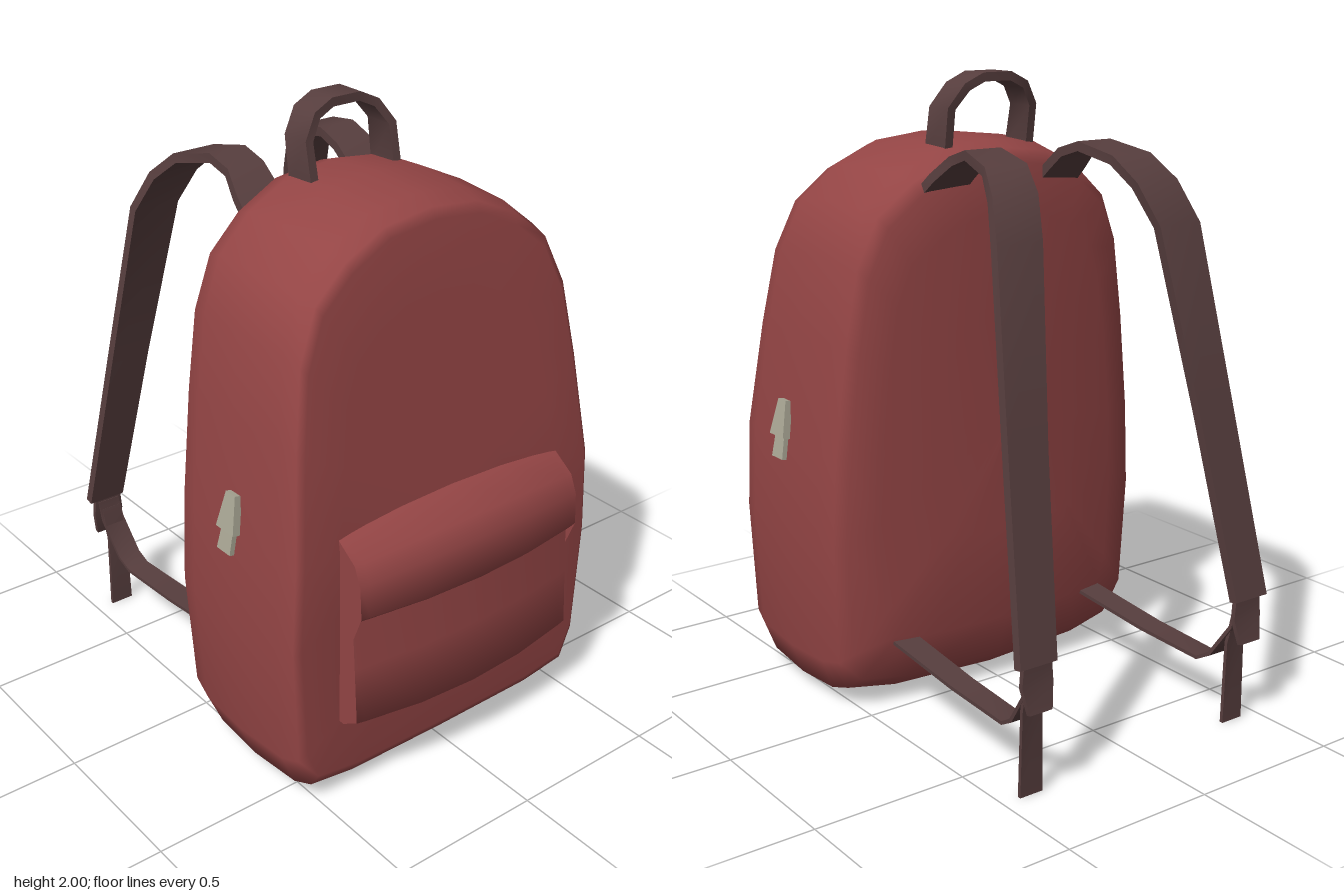
import * as THREE from 'three';
import { toCreasedNormals } from 'three/addons/utils/BufferGeometryUtils.js';

const red = new THREE.MeshStandardMaterial({ color: 0x944545 });
red.name = 'redFabric';
const brown = new THREE.MeshStandardMaterial({ color: 0x573e3e });
brown.name = 'brownWebbing';
const metal = new THREE.MeshStandardMaterial({ color: 0xaaa795 });
metal.name = 'paleMetal';

// Skins a list of equal-length rings and closes both ends.
function loft(rings) {
  const n = rings[0].length, last = (rings.length - 1) * n, index = [];
  for (let i = 0; i < rings.length - 1; i++) {
    for (let j = 0; j < n; j++) {
      const a = i * n + j, b = i * n + (j + 1) % n;
      index.push(a, b, b + n, a, b + n, a + n);
    }
  }
  for (let j = 1; j < n - 1; j++) index.push(0, j + 1, j, last, last + j, last + j + 1);
  const geo = new THREE.BufferGeometry();
  geo.setAttribute('position', new THREE.Float32BufferAttribute(rings.flat(2), 3));
  geo.setIndex(index);
  geo.computeVertexNormals();
  return geo;
}

// Flat webbing along a path: each point is [x, y, z, width].
function ribbon(path, side, thickness) {
  const pts = path.map(p => new THREE.Vector3(p[0], p[1], p[2]));
  const rings = pts.map((p, i) => {
    const t = pts[Math.min(i + 1, pts.length - 1)].clone().sub(pts[Math.max(i - 1, 0)]).normalize();
    const normal = t.cross(side).normalize();
    return [[-1, -1], [1, -1], [1, 1], [-1, 1]].map(([u, v]) =>
      p.clone().addScaledVector(side, u * path[i][3] / 2).addScaledVector(normal, v * thickness / 2).toArray());
  });
  return toCreasedNormals(loft(rings), 0.8);
}

function part(group, name, geo, material) {
  const mesh = new THREE.Mesh(geo, material);
  mesh.name = name;
  group.add(mesh);
}

function bodyGeometry() {
  const half = [[0, 0.01], [0.38, 0.015], [0.55, 0.04], [0.595, 0.15], [0.615, 0.55], [0.6, 0.85],
    [0.56, 1.2], [0.52, 1.45], [0.45, 1.61], [0.33, 1.71], [0.18, 1.78], [0, 1.8]];
  const outline = [...half, ...half.slice(1, -1).reverse().map(([x, y]) => [-x, y])];
  const back = (x, y) => -0.055 + 0.2 * x * x + 0.3 * Math.max(0, 0.25 - y);
  const front = y => 0.62 - 0.135 * Math.max(0, y - 0.85);
  // [outline scale, depth from back to front]
  const layers = [[0.02, 0], [0.4, 0], [0.75, 0], [0.92, 0.01], [0.965, 0.06], [0.99, 0.18], [1, 0.5],
    [0.985, 0.86], [0.96, 0.975], [0.925, 1], [0.7, 1], [0.35, 1], [0.02, 1]];
  return loft(layers.map(([s, f]) => outline.map(([ox, oy]) => {
    const x = ox * s, y = 0.9 + (oy - 0.9) * s;
    return [x, y, THREE.MathUtils.lerp(back(x, y), front(y), f)];
  })));
}

// Front pocket with an overhanging flap; [y, z] section swept across x.
function pocketGeometry() {
  const section = [[0.26, 0.55], [0.93, 0.55], [0.935, 0.62], [0.88, 0.72], [0.82, 0.752], [0.69, 0.76],
    [0.68, 0.75], [0.68, 0.71], [0.5, 0.725], [0.3, 0.74], [0.26, 0.66]];
  const xs = [-0.43, -0.4, -0.2, 0, 0.2, 0.4, 0.43];
  return toCreasedNormals(loft(xs.map(x => {
    const k = 1 - 1.1 * x * x;
    return section.map(([y, z]) => [x, y > 0.8 ? y - 0.15 * x * x : y < 0.4 ? y + 0.08 * x * x : y, 0.55 + (z - 0.55) * k]);
  })), 1.2);
}

export function createModel() {
  const model = new THREE.Group();
  model.name = 'backpack';
  part(model, 'body', bodyGeometry(), red);
  part(model, 'frontPocket', pocketGeometry(), red);

  // Carry handle, leaning slightly back
  const X = new THREE.Vector3(1, 0, 0), Z = new THREE.Vector3(0, 0, 1);
  part(model, 'carryHandle', ribbon([[-0.155, 1.75, 0.1, 0.11], [-0.155, 1.89, 0.075, 0.1], [-0.11, 1.955, 0.055, 0.1],
    [-0.05, 1.983, 0.05, 0.1], [0.05, 1.983, 0.05, 0.1], [0.11, 1.955, 0.055, 0.1], [0.155, 1.89, 0.075, 0.1],
    [0.155, 1.75, 0.1, 0.11]], Z, 0.028), brown);

  for (const s of [1, -1]) {
    const name = s > 0 ? 'left' : 'right';
    const flip = path => path.map(([x, ...rest]) => [s * x, ...rest]);
    const add = (label, path, side, thickness, mat) => part(model, name + label, ribbon(flip(path), side, thickness), mat);

    // Padded shoulder strap
    add('ShoulderStrap', [[0.22, 1.63, 0.02, 0.16], [0.215, 1.7, -0.06, 0.15], [0.205, 1.755, -0.13, 0.13],
      [0.21, 1.78, -0.21, 0.13], [0.235, 1.75, -0.35, 0.15], [0.265, 1.68, -0.43, 0.16], [0.3, 1.56, -0.495, 0.16],
      [0.36, 1.0, -0.615, 0.14], [0.415, 0.42, -0.74, 0.13]], X, 0.03, brown);
    // Thin lower strap back to the body
    add('LowerStrap', [[0.375, 0.235, 0.02, 0.09], [0.38, 0.2, -0.33, 0.085], [0.385, 0.187, -0.59, 0.08],
      [0.39, 0.215, -0.64, 0.08], [0.4, 0.33, -0.72, 0.08], [0.41, 0.41, -0.73, 0.08]], X, 0.012, brown);
    // Loose strap end and buckle
    add('StrapTail', [[0.405, 0.38, -0.725, 0.07], [0.4, 0.27, -0.7, 0.07], [0.4, 0.0, -0.697, 0.08]], X, 0.012, brown);
    add('StrapBuckle', [[0.41, 0.42, -0.735, 0.1], [0.41, 0.36, -0.735, 0.11], [0.41, 0.28, -0.752, 0.08]], X, 0.016, brown);
    // Zip pulls on the side
    add('ZipPullTop', [[0.59, 0.985, 0.33, 0.045], [0.615, 0.87, 0.33, 0.085]], Z, 0.025, metal);
    add('ZipPullTab', [[0.6, 0.91, 0.33, 0.05], [0.622, 0.8, 0.325, 0.065]], Z, 0.016, metal);
  }
  return model;
}
